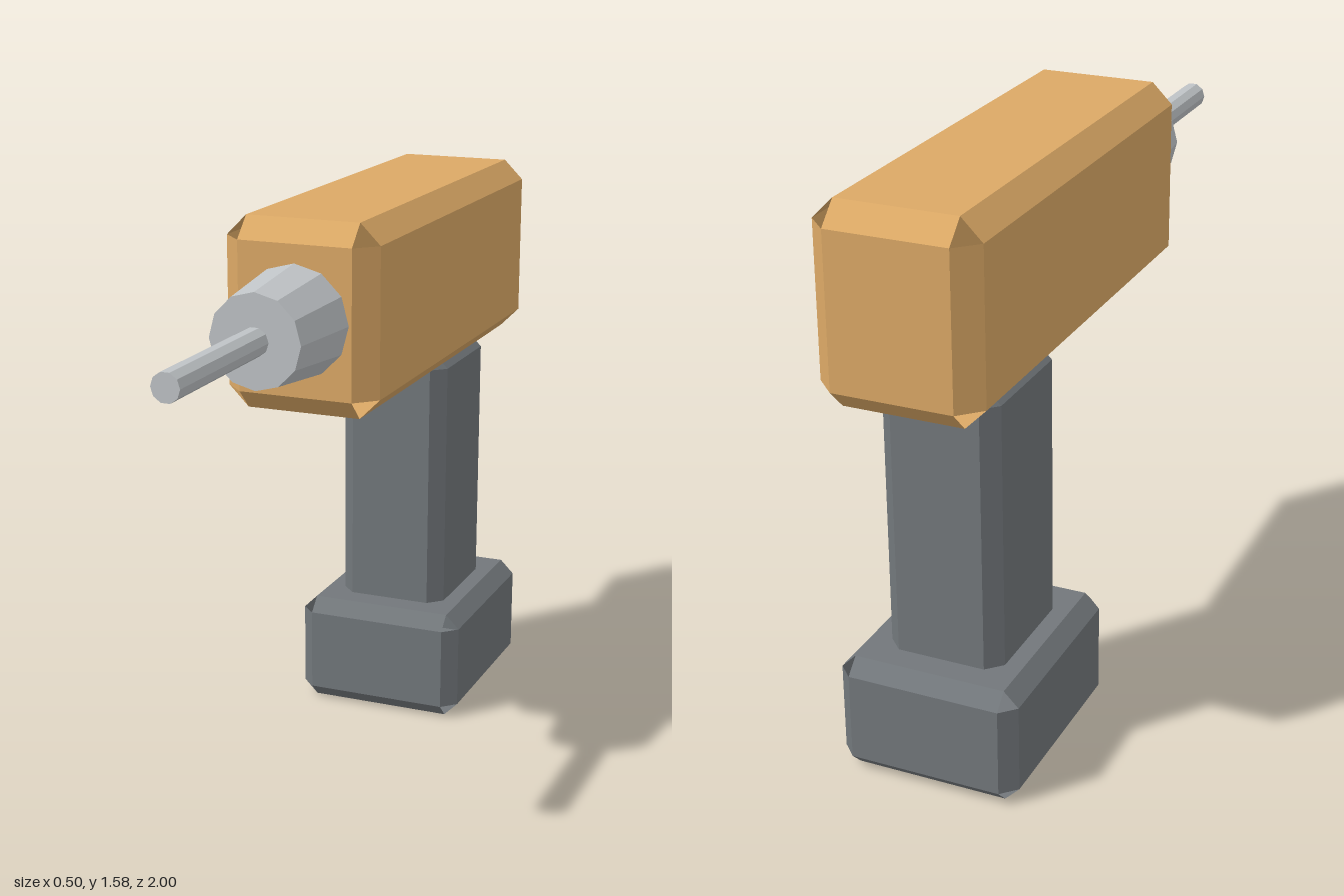
import * as THREE from 'three';

const material = (name, color) => {
  const m = new THREE.MeshStandardMaterial({ color, side: THREE.DoubleSide, flatShading: true });
  m.name = name;
  return m;
};

// Box with flat chamfers along its twelve edges; the eight tiny corners stay open.
function chamferBox(width, height, depth, bevel) {
  const outer = [width / 2, height / 2, depth / 2];
  const inner = outer.map((v) => v - bevel);
  const pos = [];
  // Corner point lying on the face of the given axis
  const point = (axis, signs) => new THREE.Vector3(
    ...signs.map((s, i) => s * (i === axis ? outer[i] : inner[i])));
  const quad = (a, b, c, d) => {
    const normal = b.clone().sub(a).cross(c.clone().sub(a));
    const centre = a.clone().add(c);
    const order = normal.dot(centre) > 0 ? [a, b, c, a, c, d] : [a, c, b, a, d, c];
    order.forEach((p) => pos.push(p.x, p.y, p.z));
  };
  for (let axis = 0; axis < 3; axis++) {
    const u = (axis + 1) % 3, v = (axis + 2) % 3;
    const signs = (a, b, c) => {
      const s = [0, 0, 0];
      s[axis] = a; s[u] = b; s[v] = c;
      return s;
    };
    for (const s of [-1, 1]) {
      // Main face
      quad(...[[-1, -1], [1, -1], [1, 1], [-1, 1]].map(([b, c]) => point(axis, signs(s, b, c))));
      // Chamfers joining this face with the next axis
      for (const t of [-1, 1]) {
        quad(point(axis, signs(s, t, -1)), point(axis, signs(s, t, 1)),
          point(u, signs(s, t, 1)), point(u, signs(s, t, -1)));
      }
    }
  }
  const geo = new THREE.BufferGeometry();
  geo.setAttribute('position', new THREE.Float32BufferAttribute(pos, 3));
  geo.computeVertexNormals();
  return geo;
}

export function createModel() {
  const group = new THREE.Group();
  group.name = 'cordlessDrill';
  const amber = material('amberHousing', 0xdca966);
  const dark = material('darkGrip', 0x72777b);
  const metal = material('metal', 0xbfc3c6);

  const add = (name, geo, mat, y, z) => {
    const mesh = new THREE.Mesh(geo, mat);
    mesh.name = name;
    mesh.position.set(0, y, z);
    group.add(mesh);
  };

  // Housing, grip and battery
  add('motorHousing', chamferBox(0.43, 0.514, 1.283, 0.056), amber, 1.322, -0.358);
  add('grip', chamferBox(0.32, 0.84, 0.38, 0.04), dark, 0.66, -0.6);
  add('batteryPack', chamferBox(0.495, 0.32, 0.6, 0.04), dark, 0.16, -0.6);

  // Tapered chuck and drill bit point forward
  add('chuck', new THREE.CylinderGeometry(0.125, 0.152, 0.25, 12).rotateX(Math.PI / 2),
    metal, 1.322, 0.4);
  add('drillBit', new THREE.CylinderGeometry(0.038, 0.038, 0.5, 10).rotateY(Math.PI / 2).rotateX(Math.PI / 2),
    metal, 1.322, 0.75);

  return group;
}
